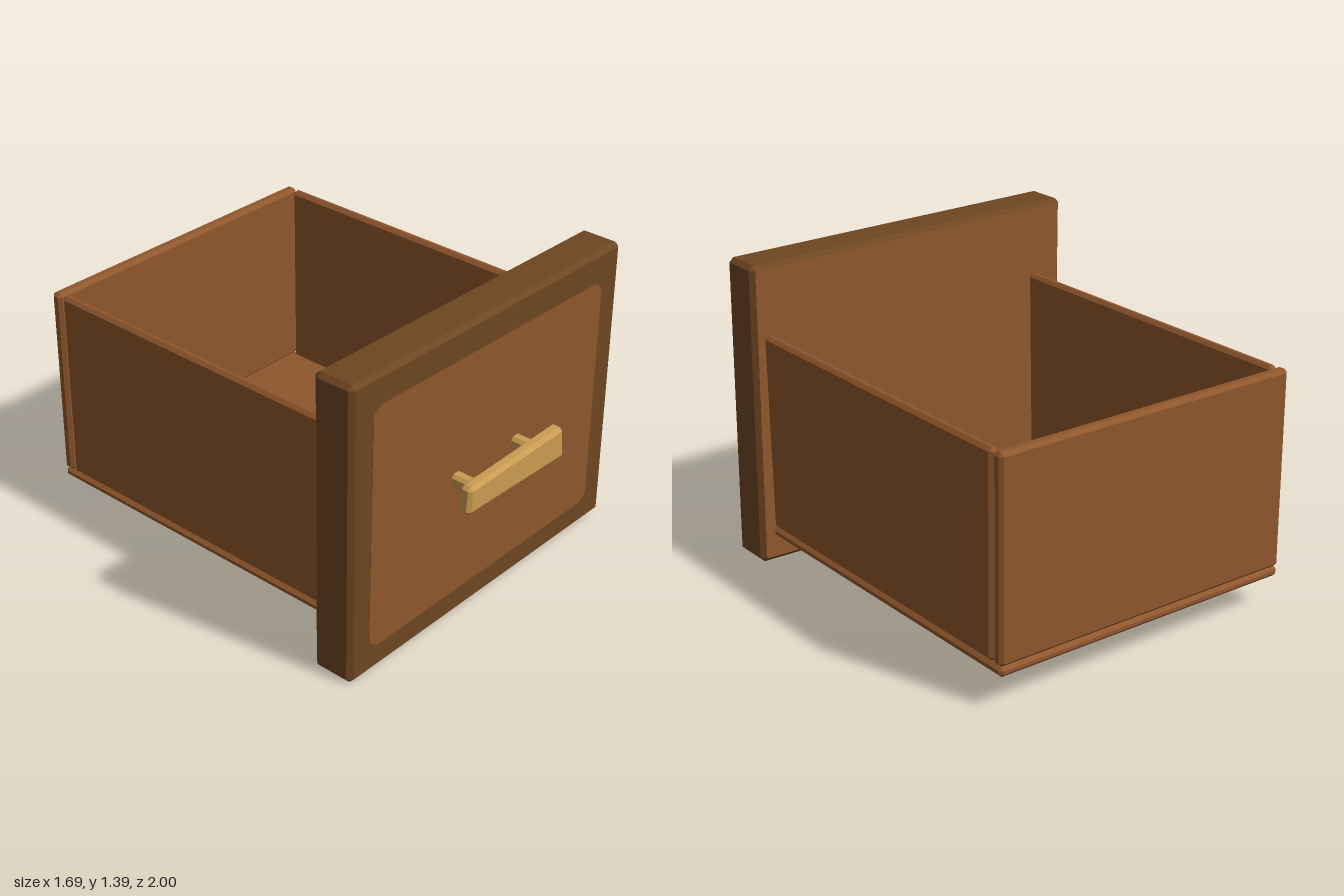
import * as THREE from 'three';
import { ConvexGeometry } from 'three/addons/geometries/ConvexGeometry.js';

const wood = new THREE.MeshStandardMaterial({ color: 0x8f572c });
wood.name = 'wood';
const darkWood = new THREE.MeshStandardMaterial({ color: 0x6e4622 });
darkWood.name = 'dark wood';
const brass = new THREE.MeshStandardMaterial({ color: 0xca9b52 });
brass.name = 'brass';

// The front panel leans slightly forward: z grows with height
const LEAN = 0.0215;

// Blend between four corners [top left, top right, bottom right, bottom left]
function inQuad([tl, tr, br, bl], u, v) {
  const mix = (i) => (1 - v) * ((1 - u) * bl[i] + u * br[i]) + v * ((1 - u) * tl[i] + u * tr[i]);
  return [mix(0), mix(1)];
}

const rect = (x0, x1, y0, y1) => [[x0, y1], [x1, y1], [x1, y0], [x0, y0]];

// Chamfered block with a four-cornered front outline between z0 and z1
function block(name, material, quad, z0, z1, bevel, lean = 0) {
  const size = [quad[1][0] - quad[0][0], quad[0][1] - quad[3][1], z1 - z0];
  const points = [];
  for (const x of [0, 1]) for (const y of [0, 1]) for (const z of [0, 1]) {
    for (let face = 0; face < 3; face++) {
      const [u, v, w] = [x, y, z].map((s, axis) => {
        const inset = axis === face ? 0 : bevel / size[axis];
        return s ? 1 - inset : inset;
      });
      const [px, py] = inQuad(quad, u, v);
      points.push(new THREE.Vector3(px, py, z0 + w * (z1 - z0) + lean * py));
    }
  }
  const mesh = new THREE.Mesh(new ConvexGeometry(points), material);
  mesh.name = name;
  return mesh;
}

// Thin inlay with clipped corners, following the panel's lean
function inlay(name, material, quad, z, clip) {
  const c = clip;
  const outline = [[c, 0], [1 - c, 0], [1, c], [1, 1 - c], [1 - c, 1], [c, 1], [0, 1 - c], [0, c]];
  const shape = new THREE.Shape(outline.map(([u, v]) => new THREE.Vector2(...inQuad(quad, u, v))));
  const geometry = new THREE.ExtrudeGeometry(shape, { depth: 0.004, bevelEnabled: false });
  const p = geometry.attributes.position;
  for (let i = 0; i < p.count; i++) p.setZ(i, p.getZ(i) + z + LEAN * p.getY(i));
  geometry.computeVertexNormals();
  const mesh = new THREE.Mesh(geometry, material);
  mesh.name = name;
  return mesh;
}

export function createModel() {
  const group = new THREE.Group();
  group.name = 'drawer';

  // Front panel with its lighter field and lighter back
  const panel = [[-0.85, 1.397], [0.82, 1.38], [0.845, 0.028], [-0.82, 0.003]];
  const field = [[-0.727, 1.256], [0.703, 1.24], [0.725, 0.142], [-0.711, 0.123]];
  const back = [[-0.83, 1.377], [0.8, 1.36], [0.824, 0.048], [-0.8, 0.023]];
  group.add(
    block('frontPanel', darkWood, panel, 0.635, 0.83, 0.02, LEAN),
    inlay('panelField', wood, field, 0.828, 0.03),
    inlay('panelBack', wood, back, 0.633, 0.002),
  );

  // Open box: two sides, back and bottom
  for (const [name, x] of [['rightSide', -0.692], ['leftSide', 0.738]]) {
    const side = block(name, wood, rect(x, x + 0.044, 0.19, 1.075), -0.938, 0.632, 0.015);
    // Slant the front edge so that it meets the panel
    const p = side.geometry.attributes.position;
    for (let i = 0; i < p.count; i++) {
      if (p.getZ(i) > 0) p.setZ(i, p.getZ(i) + LEAN * (p.getY(i) - 0.19));
    }
    side.geometry.computeVertexNormals();
    group.add(side);
  }
  group.add(
    block('backWall', wood, rect(-0.695, 0.782, 0.19, 1.075), -1, -0.945, 0.015),
    block('bottom', wood, rect(-0.692, 0.782, 0.145, 0.19), -1, 0.638, 0.015),
  );

  // Handle: uneven bar on two posts
  const bar = [[-0.305, 0.758], [0.295, 0.778], [0.31, 0.622], [-0.317, 0.635]];
  group.add(block('handleBar', brass, bar, 0.94, 1, 0.015));
  for (const [name, x] of [['rightPost', -0.21], ['leftPost', 0.173]]) {
    group.add(block(name, brass, rect(x - 0.029, x + 0.029, 0.67, 0.73), 0.82, 0.942, 0.014));
  }
  return group;
}
